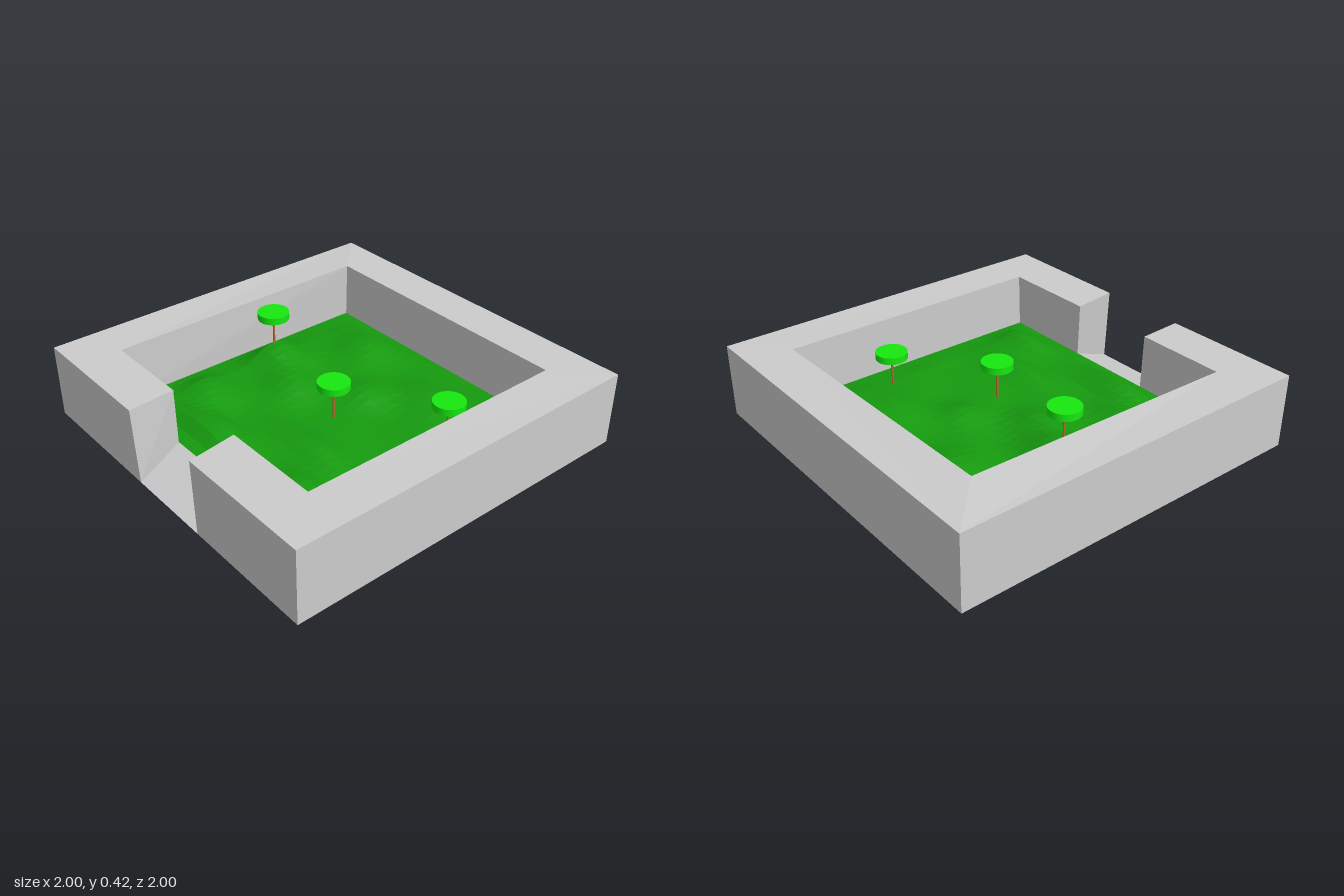
import * as THREE from 'three';

// Flat-shaded shell from named points and counter-clockwise convex faces
function shell(points, faces) {
  const pos = [];
  for (const face of faces) {
    const names = face.split(' ');
    for (let i = 1; i < names.length - 1; i++) {
      pos.push(...points[names[0]], ...points[names[i]], ...points[names[i + 1]]);
    }
  }
  const g = new THREE.BufferGeometry();
  g.setAttribute('position', new THREE.Float32BufferAttribute(pos, 3));
  g.computeVertexNormals();
  return g;
}

// Rolling ground: soft mounds [x, z, height, width x, width z] that fade out at the walls
const mounds = [
  [-0.56, -0.07, 0.10, 0.2, 0.16], [-0.3, -0.5, 0.05, 0.2, 0.16], [0.35, -0.45, 0.04, 0.25, 0.15],
  [-0.25, 0.03, 0.06, 0.16, 0.12], [0.2, 0.3, 0.06, 0.25, 0.09], [-0.2, 0.58, 0.07, 0.25, 0.09],
  [0.45, 0.55, 0.07, 0.2, 0.1], [-0.5, 0.4, 0.05, 0.2, 0.12], [0.05, -0.2, 0.05, 0.14, 0.12],
];
function groundHeight(x, z) {
  const fade = Math.min(1, (0.75 - Math.abs(x)) / 0.16, (0.75 - Math.abs(z)) / 0.12);
  let h = 0.022 + 0.008 * Math.sin(9 * x + 2 * z) * Math.cos(13 * z - 3 * x);
  for (const [mx, mz, height, wx, wz] of mounds) {
    h += height * Math.exp(-(((x - mx) / wx) ** 2) - ((z - mz) / wz) ** 2);
  }
  return 0.102 + Math.max(0, fade) * h;
}

export function createModel() {
  const model = new THREE.Group();
  const material = (color, extra = {}) => new THREE.MeshStandardMaterial({ color, ...extra });
  const add = (parent, name, geometry, mat) => {
    const mesh = new THREE.Mesh(geometry, mat);
    mesh.name = name;
    parent.add(mesh);
    return mesh;
  };

  // Courtyard wall with a slightly crooked gate and ramp.
  // Names: b/f = back/front, l/r = -x/+x, g = gate; o/i = outer/inner; 0/1 = bottom/top
  const p = {
    blo0: [-1, 0, -1], bro0: [1, 0, -1], fro0: [1, 0, 1], flo0: [-1, 0, 1],
    blo1: [-1, 0.4, -1], bro1: [1, 0.4, -1], fro1: [1, 0.4, 1], flo1: [-1, 0.4, 1],
    bli0: [-0.75, 0.1, -0.75], bri0: [0.75, 0.1, -0.75], fri0: [0.75, 0.1, 0.75], fli0: [-0.75, 0.1, 0.75],
    bli1: [-0.74, 0.417, -0.745], bri1: [0.75, 0.404, -0.755], fri1: [0.75, 0.402, 0.74], fli1: [-0.755, 0.402, 0.75],
    glo0: [-0.22, 0, 1], gro0: [0.27, 0, 1], glo1: [-0.25, 0.4, 1], gro1: [0.255, 0.4, 1],
    gli0: [-0.26, 0.1, 0.75], gri0: [0.235, 0.1, 0.75], gli1: [-0.265, 0.403, 0.75], gri1: [0.22, 0.403, 0.74],
  };
  add(model, 'courtyardWall', shell(p, [
    // outside and underside
    'bro0 blo0 blo1 bro1', 'blo0 flo0 flo1 blo1', 'fro0 bro0 bro1 fro1',
    'flo0 glo0 glo1 flo1', 'gro0 fro0 fro1 gro1', 'blo0 bro0 fro0 flo0',
    // top rim
    'blo1 bli1 bri1 bro1', 'blo1 flo1 fli1 bli1', 'bro1 bri1 fri1 fro1',
    'flo1 glo1 gli1 fli1', 'gro1 fro1 fri1 gri1',
    // inside
    'bli0 bri0 bri1 bli1', 'fli0 bli0 bli1 fli1', 'bri0 fri0 fri1 bri1',
    'gli0 fli0 fli1 gli1', 'fri0 gri0 gri1 fri1', 'bli0 fli0 fri0 bri0',
    // gate jambs and ramp
    'glo0 gli0 gli1 glo1', 'gri0 gro0 gro1 gri1', 'glo0 gro0 gri0 gli0',
  ]), material(0xcccccc, { flatShading: true }));

  // Grass inside the walls
  const grass = new THREE.PlaneGeometry(1.5, 1.5, 26, 26).rotateX(-Math.PI / 2);
  const gp = grass.attributes.position;
  for (let i = 0; i < gp.count; i++) gp.setY(i, groundHeight(gp.getX(i), gp.getZ(i)));
  grass.computeVertexNormals();
  add(model, 'grass', grass, material(0x169b0f, { flatShading: true, side: THREE.DoubleSide }));

  // Trees: thin trunk and disc crown [x, z, crown top]
  const bark = material(0xb8692b);
  const leaf = material(0x16e80f);
  for (const [x, z, top] of [[-0.56, -0.07, 0.423], [0.09, 0.05, 0.344], [0.555, -0.29, 0.322]]) {
    const tree = new THREE.Group();
    tree.name = 'tree';
    tree.position.set(x, 0, z);
    const base = groundHeight(x, z) - 0.015;
    const under = top - 0.038;
    add(tree, 'trunk', new THREE.CylinderGeometry(0.006, 0.006, under - base, 12), bark).position.y = (under + base) / 2;
    add(tree, 'crown', new THREE.CylinderGeometry(0.085, 0.085, 0.038, 32), leaf).position.y = top - 0.019;
    model.add(tree);
  }
  return model;
}
